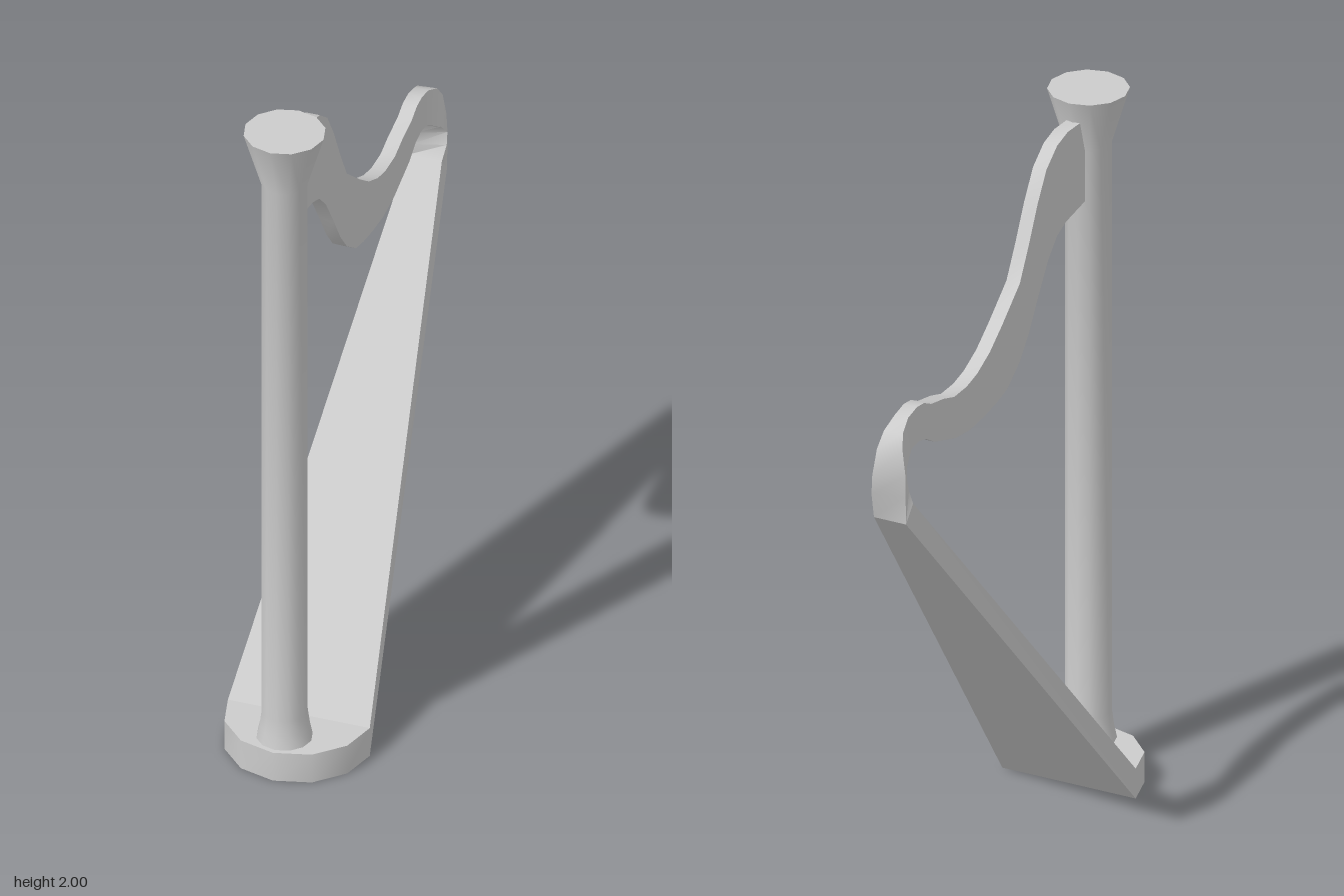
import * as THREE from 'three';
import { toCreasedNormals } from 'three/addons/utils/BufferGeometryUtils.js';

const CREASE = 0.65;

// Four-sided loft. Station: [outerZ, outerY, innerZ, innerY, halfWidth, yaw]
function loft(stations) {
  const rings = stations.map(([oz, oy, iz, iy, hw, yaw = 0]) => {
    const mid = (oz + iz) / 2;
    const c = Math.cos(yaw), s = Math.sin(yaw);
    const corner = (x, y, z) => new THREE.Vector3(x * c + (z - mid) * s, y, mid - x * s + (z - mid) * c);
    return [corner(-hw, oy, oz), corner(hw, oy, oz), corner(hw, iy, iz), corner(-hw, iy, iz)];
  });
  const points = [];
  const quad = (a, b, c, d) => points.push(a, b, c, a, c, d);
  for (let i = 0; i < rings.length - 1; i++) {
    const p = rings[i], q = rings[i + 1];
    for (let k = 0; k < 4; k++) {
      const n = (k + 1) % 4;
      quad(p[k], p[n], q[n], q[k]);
    }
  }
  const first = rings[0], last = rings[rings.length - 1];
  quad(first[3], first[2], first[1], first[0]);
  quad(...last);
  return toCreasedNormals(new THREE.BufferGeometry().setFromPoints(points), CREASE);
}

export function createModel() {
  const group = new THREE.Group();
  const material = new THREE.MeshStandardMaterial({ color: 0xcccccc });
  const add = (name, geometry, z = 0, y = 0) => {
    const mesh = new THREE.Mesh(geometry, material);
    mesh.name = name;
    mesh.position.set(0, y, z);
    group.add(mesh);
  };

  // Half-round foot
  add('base', toCreasedNormals(
    new THREE.CylinderGeometry(0.2, 0.2, 0.088, 6, 1, false, -Math.PI / 2, Math.PI), CREASE), 0.415, 0.044);

  // Pillar with flared foot and capital
  const profile = [[0, 0.086], [0.076, 0.086], [0.068, 0.125], [0.062, 0.17], [0.062, 1.84], [0.11, 2], [0, 2]]
    .map(([r, y]) => new THREE.Vector2(r, y));
  add('column', toCreasedNormals(new THREE.LatheGeometry(profile, 12), CREASE), 0.525);

  // Curved neck, ending in a twisted scroll that widens to meet the soundboard
  const join = [-0.595, 1.205, -0.555, 1.25, 0.048];
  add('neck', loft([
    [0.47, 1.935, 0.47, 1.695, 0.02],
    [0.37, 1.94, 0.36, 1.68, 0.02],
    [0.31, 1.925, 0.31, 1.66, 0.02],
    [0.25, 1.88, 0.26, 1.61, 0.02],
    [0.2, 1.8, 0.2, 1.52, 0.02],
    [0.15, 1.7, 0.15, 1.44, 0.02],
    [0.1, 1.61, 0.1, 1.38, 0.02],
    [0, 1.53, 0.03, 1.33, 0.02],
    [-0.07, 1.48, -0.03, 1.315, 0.02],
    [-0.14, 1.448, -0.1, 1.305, 0.02],
    [-0.2, 1.435, -0.18, 1.3, 0.02],
    [-0.27, 1.435, -0.26, 1.31, 0.02],
    [-0.33, 1.455, -0.32, 1.33, 0.02],
    [-0.4, 1.47, -0.38, 1.35, 0.02],
    [-0.44, 1.49, -0.43, 1.38, 0.02],
    [-0.48, 1.495, -0.47, 1.39, 0.02],
    [-0.53, 1.485, -0.51, 1.385, 0.02],
    [-0.58, 1.46, -0.535, 1.37, 0.027, 0.1],
    [-0.608, 1.42, -0.56, 1.35, 0.035, 0.25],
    [-0.62, 1.35, -0.575, 1.32, 0.044, 0.41],
    [-0.617, 1.29, -0.57, 1.285, 0.046, 0.3],
    join,
  ]));

  // Tapered soundboard sloping down to the foot
  add('soundboard', loft([join, [0.415, 0, 0.415, 0.088, 0.2]]));

  return group;
}
